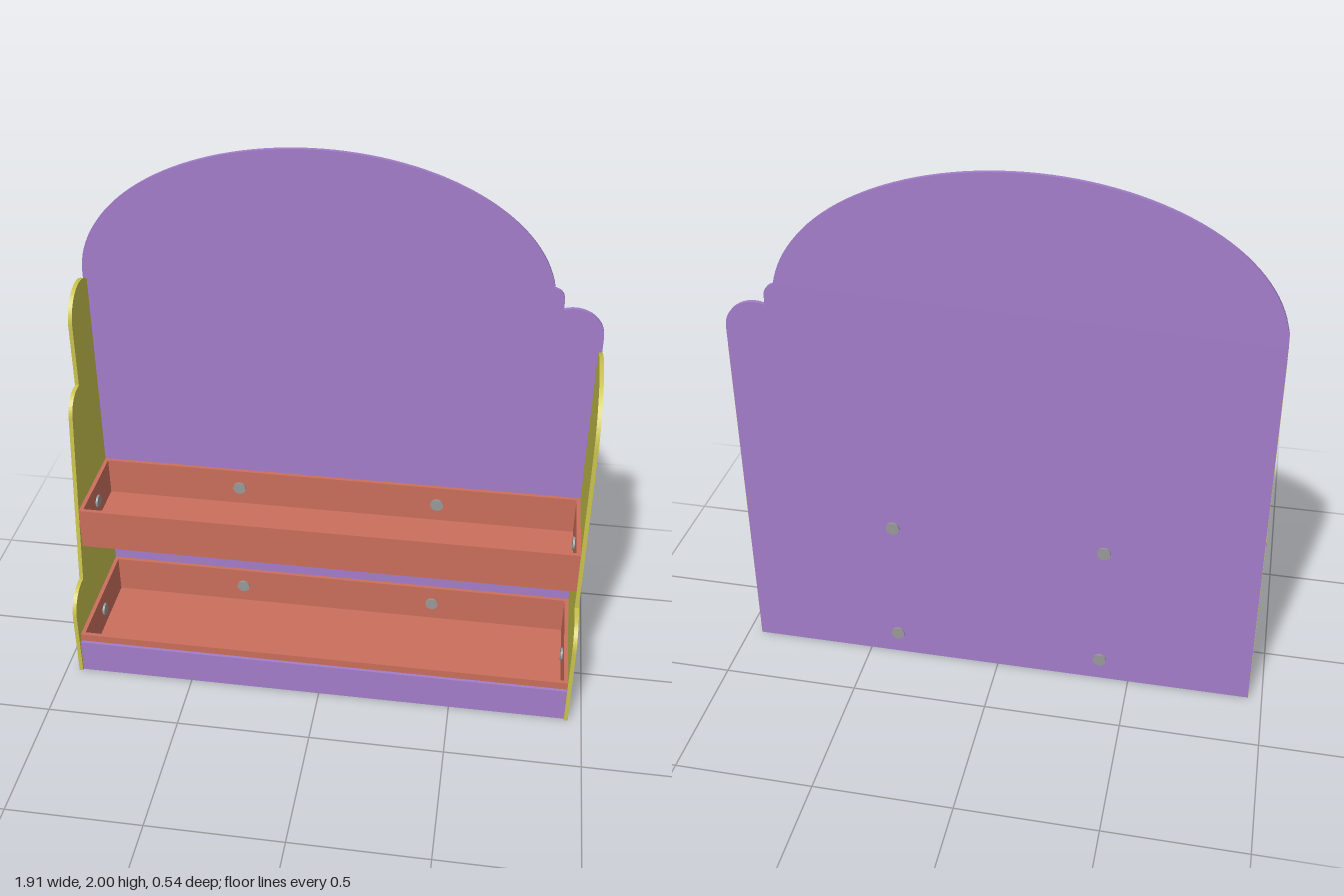
import * as THREE from 'three';
import { toCreasedNormals } from 'three/addons/utils/BufferGeometryUtils.js';

const mat = (name, color) => {
  const m = new THREE.MeshStandardMaterial({ color });
  m.name = name;
  return m;
};

export function createModel() {
  const group = new THREE.Group();
  const purple = mat('purple panel', 0xa37dca);
  const yellow = mat('yellow side', 0xc9c24d);
  const red = mat('red tray', 0xcb6f5c);
  const grey = mat('grey screw', 0x999999);

  const add = (name, geometry, material, parent = group) => {
    const mesh = new THREE.Mesh(geometry, material);
    mesh.name = name;
    parent.add(mesh);
    return mesh;
  };
  const box = (name, x0, x1, y0, y1, z0, z1, material, parent) =>
    add(name, new THREE.BoxGeometry(x1 - x0, y1 - y0, z1 - z0), material, parent)
      .position.set((x0 + x1) / 2, (y0 + y1) / 2, (z0 + z1) / 2);
  const extrude = (shape, depth) => toCreasedNormals(
    new THREE.ExtrudeGeometry(shape, { depth, bevelEnabled: false, curveSegments: 32 }), 0.5);

  // Back panel: big elliptical top, small bead and a rounded shoulder
  const back = new THREE.Shape();
  back.moveTo(-0.949, 0);
  back.lineTo(-0.949, 1.48);
  back.absellipse(-0.09, 1.48, 0.859, 0.52, Math.PI, 0.115, true);
  back.quadraticCurveTo(0.8, 1.53, 0.8, 1.49);
  back.lineTo(0.8, 1.46);
  back.absellipse(0.839, 1.36, 0.11, 0.105, 1.93, 0, true);
  back.lineTo(0.949, 0);
  add('backPanel', extrude(back, 0.015), purple).position.z = -0.261;

  // Side panels, drawn with shape x = -z and turned to face sideways
  const side = (name, x, draw) => {
    const s = new THREE.Shape();
    s.moveTo(0.26, 0);
    s.lineTo(-0.27, 0);
    draw(s);
    const g = extrude(s, 0.015);
    g.rotateY(Math.PI / 2);
    add(name, g, yellow).position.x = x;
  };
  side('leftSide', 0.935, (s) => {
    s.lineTo(-0.27, 0.33);
    s.absellipse(-0.17, 0.33, 0.1, 0.1, Math.PI, Math.PI / 2, true);
    s.lineTo(-0.127, 0.43);
    s.lineTo(-0.127, 1.11);
    s.absellipse(0.12, 1.11, 0.247, 0.22, Math.PI, 0.97, true);
    s.lineTo(0.26, 1.29);
  });
  side('rightSide', -0.95, (s) => {
    s.lineTo(-0.27, 0.26);
    s.absellipse(-0.17, 0.26, 0.1, 0.105, Math.PI, Math.PI / 2, true);
    s.lineTo(-0.154, 0.365);
    s.lineTo(-0.066, 1.03);
    s.absellipse(0.024, 1.03, 0.09, 0.09, Math.PI, 1.75, true);
    s.lineTo(0.04, 1.12);
    s.lineTo(0.04, 1.36);
    s.absellipse(0.165, 1.36, 0.125, 0.122, Math.PI, 0.71, true);
  });

  // Open trays
  const tray = (name, y0, y1, zFront) => {
    const t = new THREE.Group();
    t.name = name;
    group.add(t);
    const w = 0.935, th = 0.015, zb = -0.246;
    box('trayFloor', -w, w, y0, y0 + th, zb, zFront, red, t);
    box('trayBack', -w, w, y0 + th, y1, zb, zb + th, red, t);
    box('trayFront', -w, w, y0 + th, y1, zFront - th, zFront, red, t);
    for (const x of [-w, w - th])
      box('trayEnd', x, x + th, y0 + th, y1, zb + th, zFront - th, red, t);
  };
  tray('lowerTray', 0, 0.167, 0.25);
  tray('upperTray', 0.497, 0.662, 0.117);

  // Front board below the lower tray rim
  box('frontBoard', -0.935, 0.935, 0, 0.137, 0.25, 0.262, purple);

  // Screws through the sides and the back
  for (const [y, z] of [[0.09, 0], [0.585, -0.06]]) {
    for (const s of [-1, 1]) {
      const sideScrew = add('sideScrew', new THREE.CylinderGeometry(0.025, 0.025, 0.044, 20), grey);
      sideScrew.rotation.z = Math.PI / 2;
      sideScrew.position.set(s * 0.934, y, z);
      const backScrew = add('backScrew', new THREE.CylinderGeometry(0.025, 0.025, 0.044, 20), grey);
      backScrew.rotation.x = Math.PI / 2;
      backScrew.position.set(s * 0.39, y, -0.246);
    }
  }
  return group;
}
